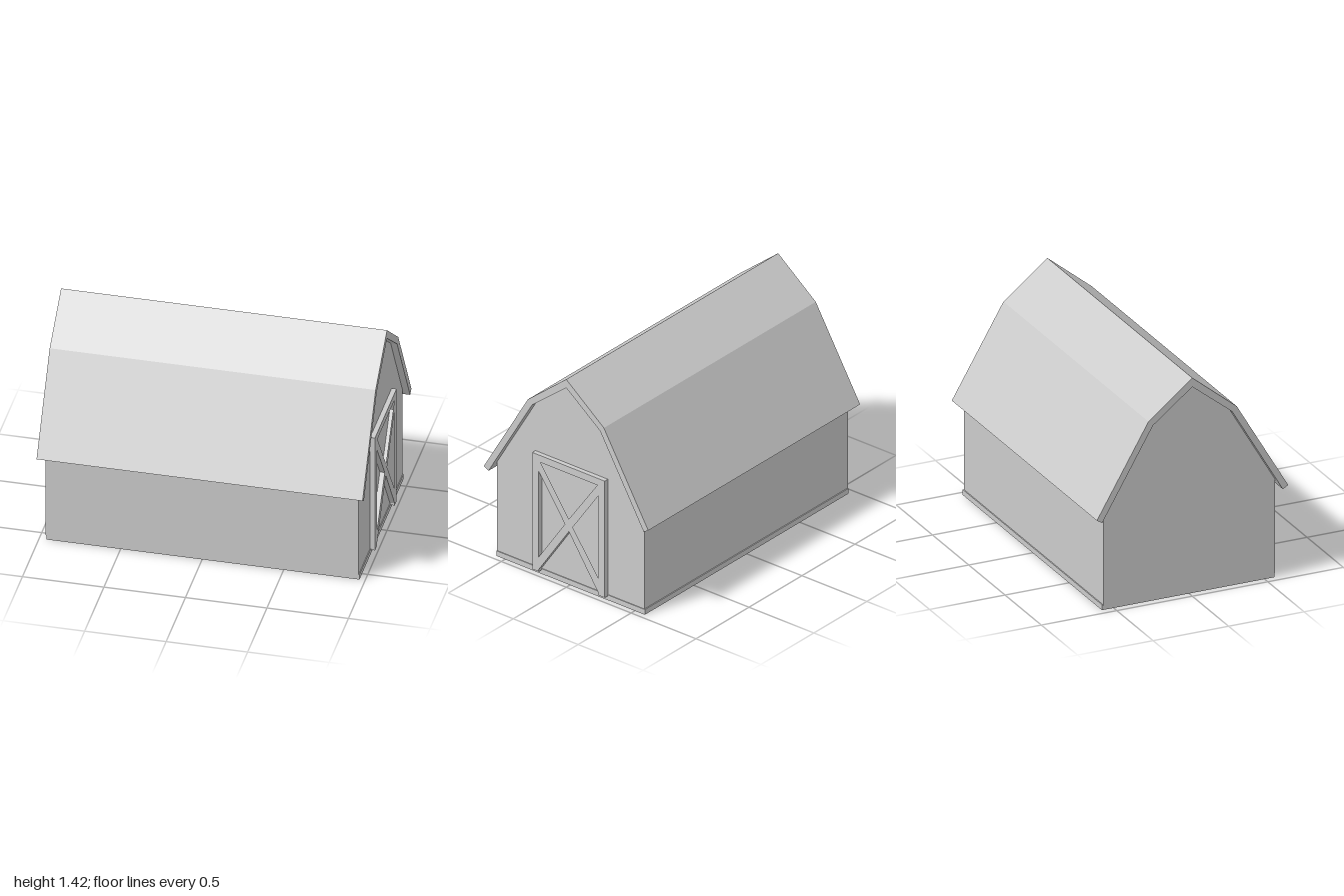
import * as THREE from 'three';

const material = new THREE.MeshStandardMaterial({ color: 0xcccccc, flatShading: true });

// Extrudes a [z, y] outline (with optional holes) along x from x0 to x1
function slab(name, x0, x1, outline, holes = []) {
  const toPoints = (list) => list.map(([z, y]) => new THREE.Vector2(-z, y));
  const shape = new THREE.Shape(toPoints(outline));
  for (const hole of holes) shape.holes.push(new THREE.Path(toPoints(hole)));
  const geometry = new THREE.ExtrudeGeometry(shape, { depth: x1 - x0, bevelEnabled: false });
  geometry.rotateY(Math.PI / 2);
  geometry.translate(x0, 0, 0);
  const mesh = new THREE.Mesh(geometry, material);
  mesh.name = name;
  return mesh;
}

export function createModel() {
  const barn = new THREE.Group();
  barn.name = 'barn';

  // Low foundation, a touch proud of the back wall
  barn.add(slab('foundation', -0.955, 0.965, [
    [0.567, 0], [0.567, 0.035], [-0.577, 0.035], [-0.577, 0],
  ]));

  // Walls with gambrel gables, reaching just into the roof
  barn.add(slab('walls', -0.96, 0.96, [
    [0.568, 0.03], [0.568, 0.645], [0.267, 1.158], [0, 1.368],
    [-0.264, 1.164], [-0.57, 0.645], [-0.57, 0.03],
  ]));

  // Gambrel roof shell with overhanging eaves
  barn.add(slab('roof', -1, 1, [
    [0.635, 0.605], [0.295, 1.18], [0, 1.42], [-0.29, 1.19], [-0.632, 0.61],
    [-0.597, 0.588], [-0.26, 1.16], [0, 1.362], [0.264, 1.152], [0.6, 0.584],
  ]));

  // Door frame with crossed braces, open at the foot
  barn.add(slab('doorFrame', 0.95, 0.99, [
    [0.27, 0.025], [0.27, 0.822], [-0.288, 0.822], [-0.288, 0.025],
    [-0.24, 0.025], [-0.24, 0.04], [-0.012, 0.38], [0.22, 0.04], [0.22, 0.025],
  ], [
    [[0.207, 0.775], [-0.232, 0.775], [-0.012, 0.465]],
    [[0.22, 0.71], [0.22, 0.125], [0.018, 0.42]],
    [[-0.24, 0.705], [-0.24, 0.14], [-0.042, 0.42]],
  ]));

  return barn;
}
